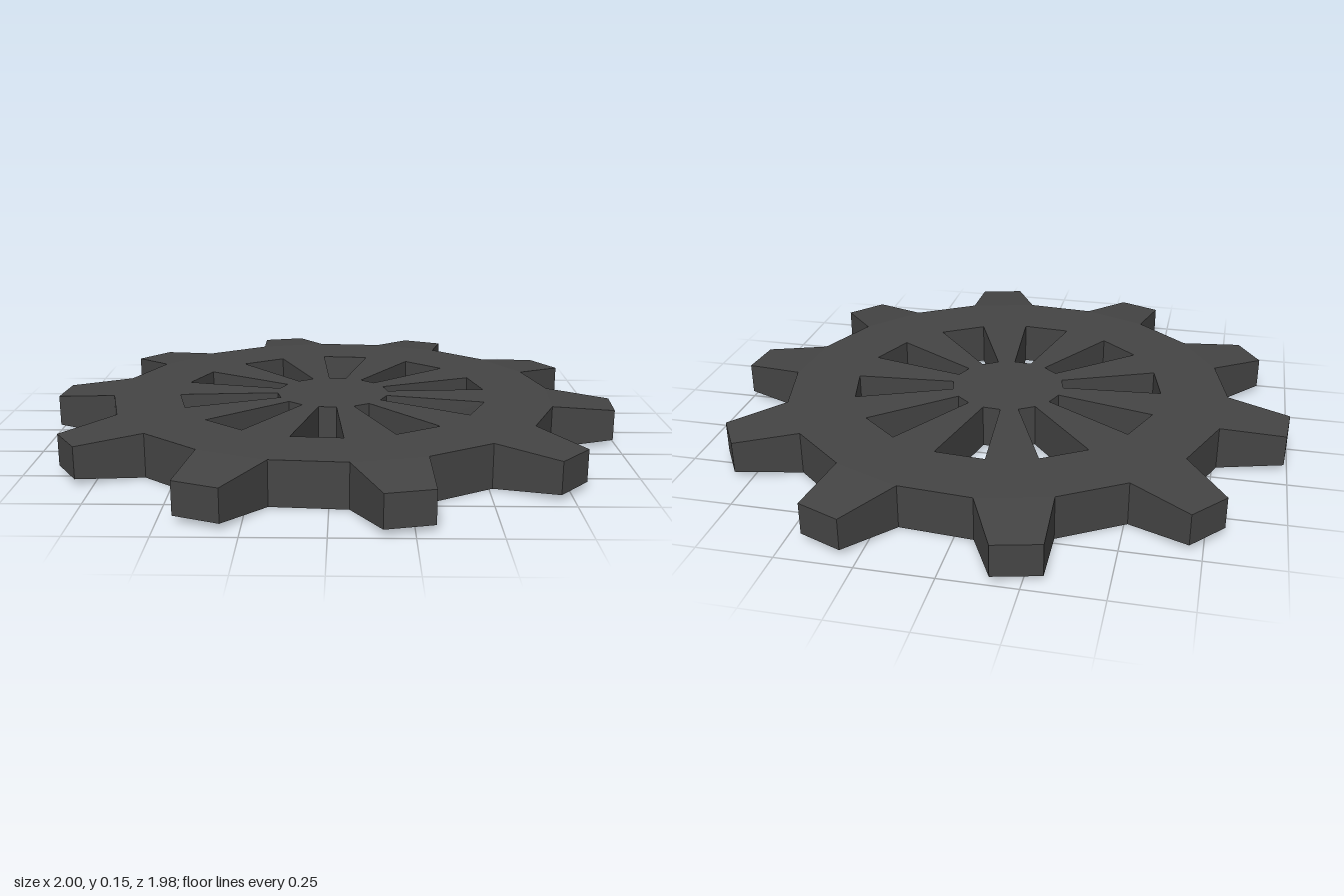
import * as THREE from 'three';

const COUNT = 10;                       // teeth, spokes and openings
const HEIGHT = 0.15;
const HUB_R = 0.2, RIM_IN = 0.55, RIM_OUT = 0.786, TIP_R = 1.0;
const STEP = Math.PI / COUNT;           // one tooth or one gap
const START = THREE.MathUtils.degToRad(4.45); // angle of the first tooth

const material = new THREE.MeshStandardMaterial({ color: 0x444444, flatShading: true });

// Radial block: a box bent so that x runs along the radius and z along the angle.
// sides lists the faces kept: 0 outer, 1 inner, 2 top, 3 bottom, 4 and 5 flanks.
function wedge(name, angle, inner, outer, sides) {
  const box = new THREE.BoxGeometry(1, 1, 1);
  const pos = box.attributes.position;
  for (let i = 0; i < pos.count; i++) {
    const end = pos.getX(i) > 0 ? outer : inner;
    const a = angle + pos.getZ(i) * 2 * end.half;
    pos.setXYZ(i, end.r * Math.cos(a), HEIGHT / 2 + pos.getY(i) * end.h, end.r * Math.sin(a));
  }
  const index = Array.from(box.index.array);
  box.setIndex(sides.flatMap((s) => index.slice(s * 6, s * 6 + 6)));
  const geometry = box.toNonIndexed();
  geometry.computeVertexNormals();
  const mesh = new THREE.Mesh(geometry, material);
  mesh.name = name;
  return mesh;
}

export function createModel() {
  const gear = new THREE.Group();
  gear.name = 'gearWheel';

  const ring = (r, h = HEIGHT, half = STEP / 2) => ({ r, h, half });

  // Hub with corners lined up with the spoke edges
  const hub = new THREE.Mesh(
    new THREE.CylinderGeometry(HUB_R, HUB_R, HEIGHT, COUNT * 2, 1, false, Math.PI / 2 - START + STEP / 2),
    material
  );
  hub.position.y = HEIGHT / 2;
  hub.name = 'hub';
  gear.add(hub);

  const rim = new THREE.Group();
  rim.name = 'rim';
  gear.add(rim);

  for (let i = 0; i < COUNT; i++) {
    const a = START + i * 2 * STEP;

    // Rim: one section behind each tooth, one at each gap with open walls
    rim.add(wedge('rimToothSection', a, ring(RIM_IN), ring(RIM_OUT), [2, 3]));
    rim.add(wedge('rimGapSection', a + STEP, ring(RIM_IN), ring(RIM_OUT), [0, 1, 2, 3]));

    // Spoke widening from the hub to the rim
    gear.add(wedge('spoke', a, ring(HUB_R), ring(RIM_IN), [2, 3, 4, 5]));

    // Tooth tapering in width and thickness
    gear.add(wedge('tooth', a, ring(RIM_OUT), ring(TIP_R, 0.108, STEP / 4), [0, 2, 3, 4, 5]));
  }
  return gear;
}
